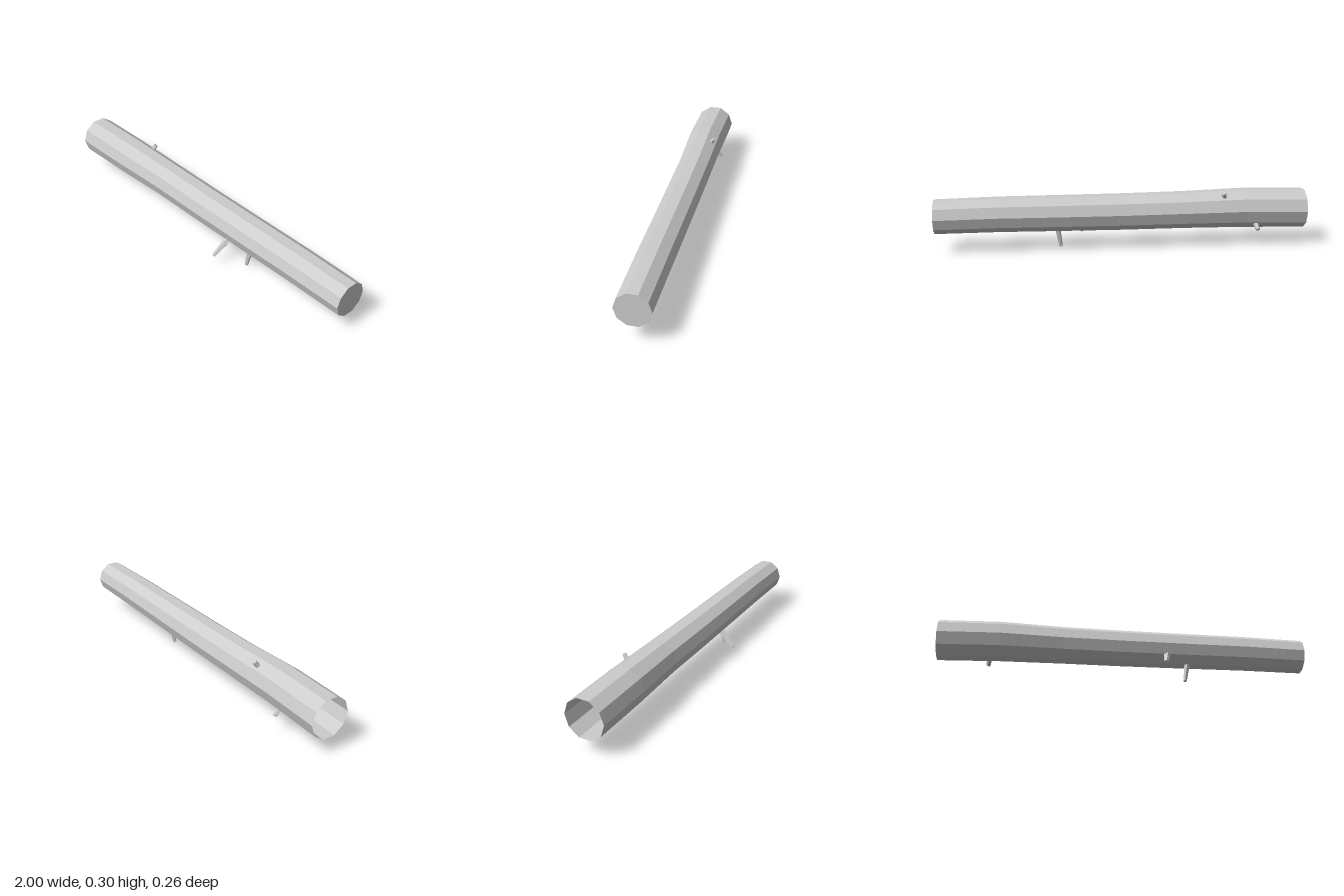
import * as THREE from 'three';

// Log cross-sections, evenly spaced from x = -1 to 1: [centre y, centre z, radius]
const SECTIONS = [
  [0.190, -0.019, 0.109],
  [0.198, -0.018, 0.108],
  [0.196, -0.026, 0.101],
  [0.194, -0.028, 0.099],
  [0.195, -0.030, 0.097],
  [0.197, -0.032, 0.095],
  [0.193, -0.034, 0.092],
];

// Broken branch stubs: base point, tip point, base radius, tip radius
const STUBS = [
  ['frontBranchStub', [0.235, 0.145, 0.025], [0.213, 0.055, 0.123], 0.02, 0.011],
  ['lowerBranchStub', [0.355, 0.13, -0.015], [0.335, 0.003, -0.002], 0.017, 0.01],
  ['upperBranchStub', [-0.555, 0.24, -0.062], [-0.54, 0.298, -0.1], 0.016, 0.012],
  ['backBranchStub', [-0.72, 0.14, -0.07], [-0.73, 0.095, -0.115], 0.017, 0.012],
];

// Give every facet its own flat normal
function faceted(geometry) {
  const flat = geometry.toNonIndexed();
  flat.computeVertexNormals();
  return flat;
}

function addMesh(parent, name, geometry, material) {
  const mesh = new THREE.Mesh(geometry, material);
  mesh.name = name;
  parent.add(mesh);
  return mesh;
}

export function createModel() {
  const group = new THREE.Group();
  group.name = 'fallenLog';
  const wood = new THREE.MeshStandardMaterial({ color: 0xcccccc, side: THREE.DoubleSide });
  wood.name = 'greyWood';

  // Ten-sided trunk along x, open at the -x end, bent through the sections
  const last = SECTIONS.length - 1;
  const trunk = new THREE.CylinderGeometry(1, 1, 2, 10, last, true);
  trunk.rotateZ(-Math.PI / 2);
  const p = trunk.attributes.position;
  for (let i = 0; i < p.count; i++) {
    const [cy, cz, r] = SECTIONS[Math.round((p.getX(i) + 1) / 2 * last)];
    p.setXYZ(i, p.getX(i), cy + p.getY(i) * r, cz + p.getZ(i) * r);
  }
  addMesh(group, 'trunk', faceted(trunk), wood);

  // Sawn end
  const [endY, endZ, endR] = SECTIONS[last];
  const cap = new THREE.CircleGeometry(endR, 10);
  cap.rotateY(Math.PI / 2);
  addMesh(group, 'sawnEnd', cap, wood).position.set(1, endY, endZ);

  // Tapered branch stubs, rooted inside the trunk
  for (const [name, a, b, baseR, tipR] of STUBS) {
    const base = new THREE.Vector3(...a);
    const tip = new THREE.Vector3(...b);
    const axis = tip.clone().sub(base);
    const geometry = new THREE.CylinderGeometry(tipR, baseR, axis.length(), 5);
    const stub = addMesh(group, name, faceted(geometry), wood);
    stub.position.copy(base).add(tip).multiplyScalar(0.5);
    stub.quaternion.setFromUnitVectors(new THREE.Vector3(0, 1, 0), axis.normalize());
  }

  return group;
}
